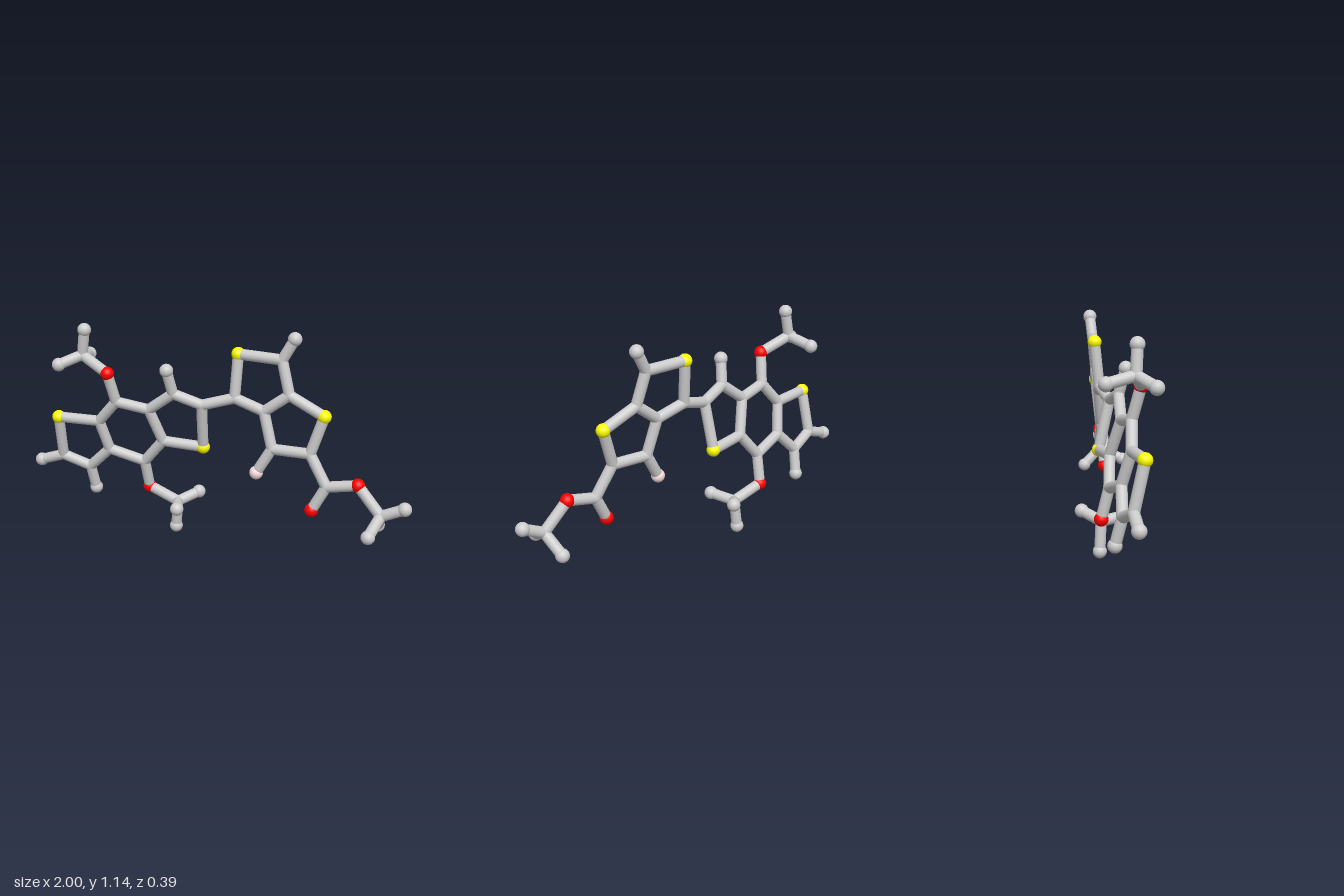
import * as THREE from 'three';

const BOND_R = 0.027;
const BALL_R = 0.034;

const material = (color) => new THREE.MeshStandardMaterial({ color });

// Fused three-ring plate on the left: [x, y], lying in one tilted plane
const leftPlane = (x, y) => -0.193 - 0.122 * x + 0.2255 * y;
const leftAtoms = {
  sulfurA: [-0.83, 0.605], carbon1: [-0.84, 0.38], carbon2: [-0.7, 0.325], carbon3: [-0.58, 0.44],
  carbon4: [-0.615, 0.6], carbon5: [-0.51, 0.72], carbon6: [-0.345, 0.69], carbon7: [-0.29, 0.515],
  carbon8: [-0.4, 0.385], carbon9: [-0.21, 0.79], carbon10: [-0.07, 0.74], sulfurB: [-0.083, 0.5],
  oxygenA: [-0.535, 0.875], oxygenB: [-0.39, 0.235],
  hydrogenA: [-0.967, 0.337], hydrogenB: [-0.687, 0.195], hydrogenC: [-0.23, 0.915],
};

// Fused two-ring plate on the right with its ester arm
const rightPlane = (x, y) => 0.025 + 0.054 * x - 0.1 * y;
const rightAtoms = {
  carbon11: [0.09, 0.785], sulfurC: [0.1, 1.003], carbon12: [0.325, 1.0], carbon13: [0.37, 0.835],
  carbon14: [0.245, 0.74], sulfurD: [0.55, 0.755], carbon15: [0.49, 0.565], carbon16: [0.295, 0.56],
  fluorine: [0.22, 0.43], carbon17: [0.58, 0.415], oxygenC: [0.513, 0.288], oxygenD: [0.735, 0.448],
  hydrogenD: [0.383, 1.105],
};

// Three methyl ends, out of plane: [x, y, z]
const methylAtoms = {
  carbon18: [-0.69, 0.943, 0.025], hydrogenE: [-0.67, 1.075, 0.033],
  hydrogenF: [-0.785, 0.903, 0.1], hydrogenG: [-0.717, 0.912, -0.108],
  carbon19: [-0.225, 0.18, -0.075], hydrogenH: [-0.24, 0.036, -0.083],
  hydrogenI: [-0.142, 0.213, -0.16], hydrogenJ: [-0.18, 0.194, 0.052],
  carbon20: [0.855, 0.317, 0.04], hydrogenK: [0.967, 0.37, 0.042],
  hydrogenL: [0.825, 0.255, 0.16], hydrogenM: [0.825, 0.226, -0.055],
};

// Each chain is a run of atoms joined one to the next
const chains = [
  ['sulfurA', 'carbon1', 'carbon2', 'carbon3', 'carbon4', 'sulfurA'],
  ['carbon4', 'carbon5', 'carbon6', 'carbon7', 'carbon8', 'carbon3'],
  ['carbon6', 'carbon9', 'carbon10', 'sulfurB', 'carbon7'],
  ['carbon1', 'hydrogenA'], ['carbon2', 'hydrogenB'], ['carbon9', 'hydrogenC'],
  ['carbon5', 'oxygenA', 'carbon18', 'hydrogenE'], ['hydrogenF', 'carbon18', 'hydrogenG'],
  ['carbon8', 'oxygenB', 'carbon19', 'hydrogenH'], ['hydrogenI', 'carbon19', 'hydrogenJ'],
  ['carbon10', 'carbon11', 'sulfurC', 'carbon12', 'carbon13', 'carbon14', 'carbon11'],
  ['carbon13', 'sulfurD', 'carbon15', 'carbon16', 'carbon14'],
  ['carbon12', 'hydrogenD'], ['carbon16', 'fluorine'], ['carbon15', 'carbon17', 'oxygenC'],
  ['carbon17', 'oxygenD', 'carbon20', 'hydrogenK'], ['hydrogenL', 'carbon20', 'hydrogenM'],
];

export function createModel() {
  const model = new THREE.Group();
  model.name = 'molecule';
  const grey = material(0xcccccc);
  const materials = {
    carbon: grey, hydrogen: grey,
    sulfur: material(0xffff00), oxygen: material(0xff0000), fluorine: material(0xffe0e0),
  };

  const positions = {};
  const place = (atoms, plane) => {
    for (const [name, [x, y, z]] of Object.entries(atoms)) {
      positions[name] = new THREE.Vector3(x, y, z ?? plane(x, y));
    }
  };
  place(leftAtoms, leftPlane);
  place(rightAtoms, rightPlane);
  place(methylAtoms);

  // Atoms: full balls, while carbons only round off the bond joints
  const ball = new THREE.SphereGeometry(BALL_R, 24, 16);
  const joint = new THREE.SphereGeometry(BOND_R, 24, 16);
  for (const [name, position] of Object.entries(positions)) {
    const kind = Object.keys(materials).find((key) => name.startsWith(key));
    const atom = new THREE.Mesh(kind === 'carbon' ? joint : ball, materials[kind]);
    atom.name = kind + 'Atom';
    atom.position.copy(position);
    model.add(atom);
  }

  // Bonds: straight rods between neighbouring atoms
  const rod = new THREE.CylinderGeometry(BOND_R, BOND_R, 1, 20, 1, true);
  const up = new THREE.Vector3(0, 1, 0);
  for (const names of chains) {
    for (let i = 1; i < names.length; i++) {
      const a = positions[names[i - 1]];
      const b = positions[names[i]];
      const along = b.clone().sub(a);
      const bond = new THREE.Mesh(rod, grey);
      bond.name = 'bond';
      bond.position.copy(a).add(b).multiplyScalar(0.5);
      bond.scale.y = along.length();
      bond.quaternion.setFromUnitVectors(up, along.normalize());
      model.add(bond);
    }
  }
  return model;
}
